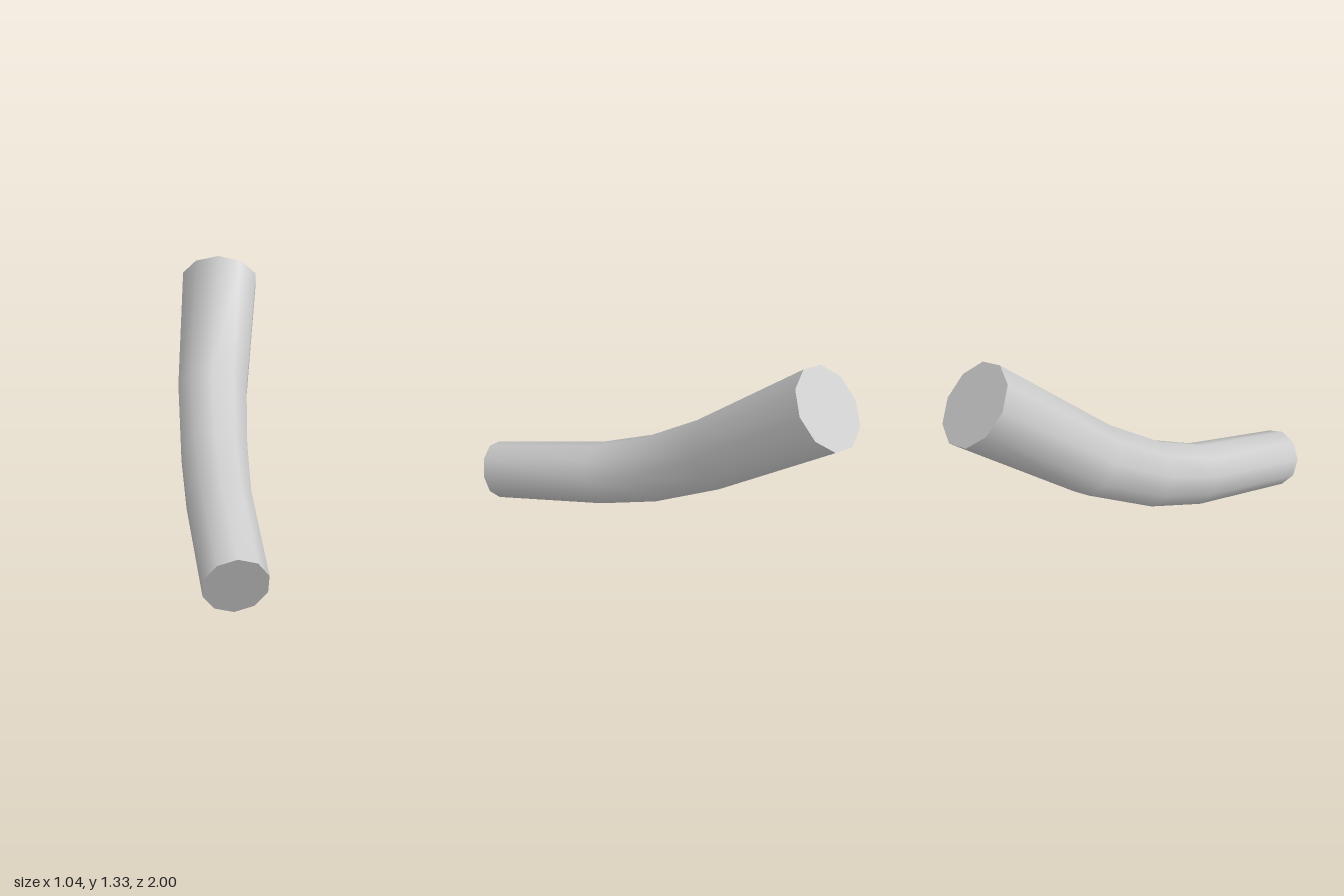
import * as THREE from 'three';

const SIDES = 10;

// Cross-sections from the front cut to the back cut: centre, direction, radius
const sections = [
  { c: [0.383, 0.153, 0.92], t: [-0.53, 0.37, -1], r: 0.157 },
  { c: [0.1, 0.325, 0.34], t: [-0.45, 0.38, -1], r: 0.166 },
  { c: [-0.025, 0.46, 0.05], t: [-0.42, 0.55, -1], r: 0.176 },
  { c: [-0.15, 0.685, -0.28], t: [-0.33, 0.75, -1], r: 0.19 },
  { c: [-0.31, 1.175, -0.855], t: [-0.3, 0.9, -1], r: 0.214 },
];

// Corner points of one cross-section, starting at its top
function ring({ c, t, r }) {
  const centre = new THREE.Vector3(...c);
  const dir = new THREE.Vector3(...t).normalize();
  const up = new THREE.Vector3(0, 1, 0).addScaledVector(dir, -dir.y).normalize();
  const side = new THREE.Vector3().crossVectors(dir, up);
  return Array.from({ length: SIDES }, (_, i) => {
    const a = (i / SIDES) * Math.PI * 2;
    return centre.clone().addScaledVector(up, r * Math.cos(a)).addScaledVector(side, r * Math.sin(a));
  });
}

function makeMesh(name, points, index, material) {
  const geometry = new THREE.BufferGeometry().setFromPoints(points);
  geometry.setIndex(index);
  geometry.computeVertexNormals();
  const mesh = new THREE.Mesh(geometry, material);
  mesh.name = name;
  return mesh;
}

// Flat cut face closing one end
function cutFace(name, points, flip, material) {
  const index = [];
  for (let i = 1; i < SIDES - 1; i++) index.push(0, ...(flip ? [i + 1, i] : [i, i + 1]));
  return makeMesh(name, points, index, material);
}

export function createModel() {
  const group = new THREE.Group();
  group.name = 'bentLog';
  const material = new THREE.MeshStandardMaterial({ color: 0xcccccc });
  const rings = sections.map(ring);

  // Smooth tapering bark between the cross-sections
  const index = [];
  for (let k = 0; k < rings.length - 1; k++) {
    for (let i = 0; i < SIDES; i++) {
      const j = (i + 1) % SIDES;
      const a = k * SIDES + i, b = k * SIDES + j;
      index.push(a, b, b + SIDES, a, b + SIDES, a + SIDES);
    }
  }
  group.add(makeMesh('bark', rings.flat(), index, material));

  // End cuts
  group.add(cutFace('frontCut', rings[0], true, material));
  group.add(cutFace('backCut', rings[rings.length - 1], false, material));
  return group;
}
